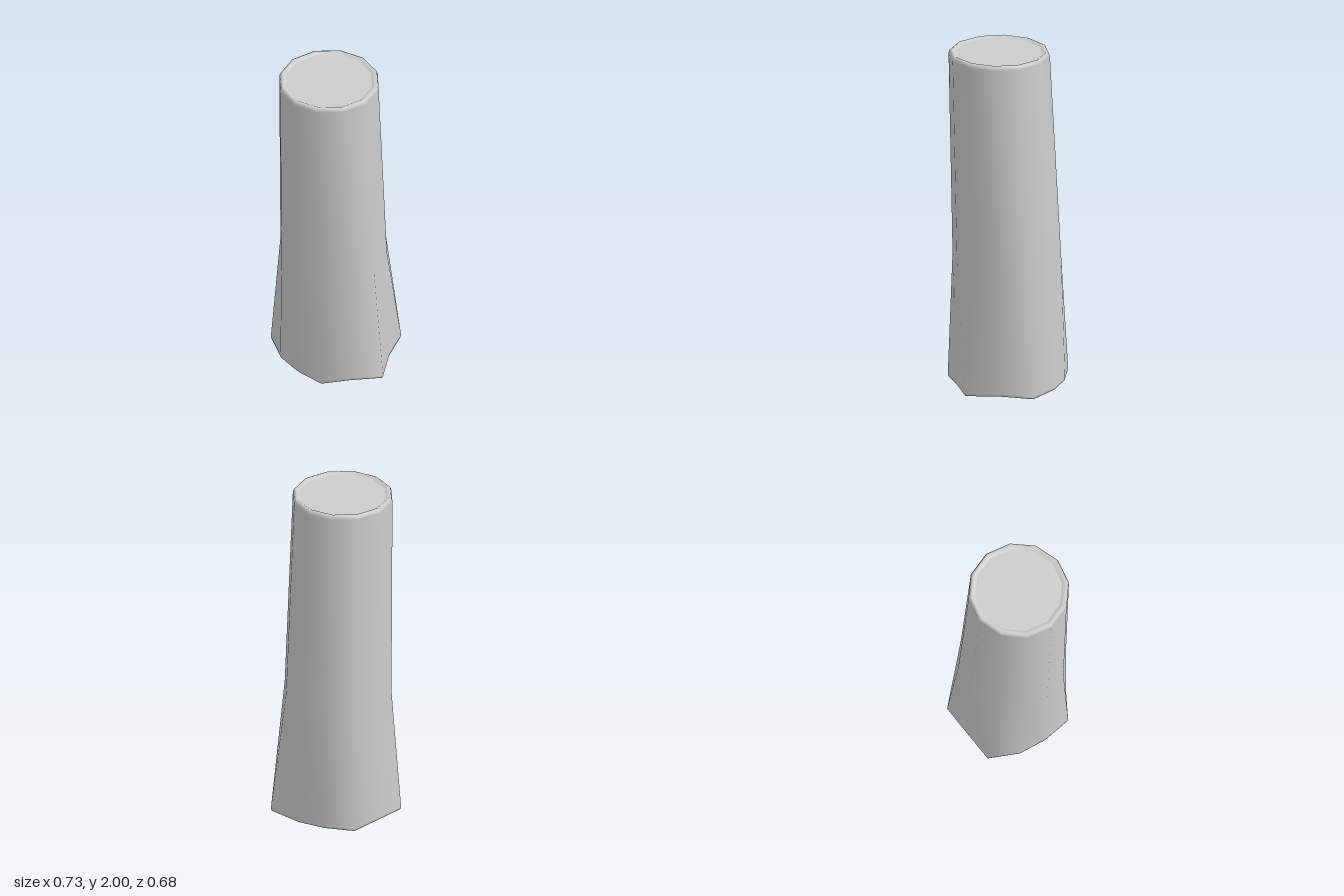
import * as THREE from 'three';

const SIDES = 12;

// Irregular foot outline (x, z), starting at the back and going round by +x
const FOOT = [
  [0.015, -0.34], [0.18, -0.30], [0.365, -0.195], [0.34, -0.01],
  [0.35, 0.205], [0.17, 0.27], [0.015, 0.34], [-0.14, 0.26],
  [-0.27, 0.15], [-0.365, -0.017], [-0.262, -0.18], [-0.16, -0.34],
];

// Regular 12-sided outline
function circle(cx, cz, r) {
  return FOOT.map((_, i) => {
    const a = (i / SIDES) * Math.PI * 2;
    return [cx + r * Math.sin(a), cz - r * Math.cos(a)];
  });
}

const scaled = (outline, k) => outline.map(([x, z]) => [x * k, z * k]);
const ring = (outline, y) => outline.map(([x, z]) => [x, y, z]);

// Skin through a stack of rings, listed from bottom to top
function loft(rings) {
  const index = [];
  for (let j = 0; j < rings.length - 1; j++) {
    for (let i = 0; i < SIDES; i++) {
      const n = (i + 1) % SIDES;
      const a = j * SIDES + i, b = j * SIDES + n;
      index.push(a, a + SIDES, b + SIDES, a, b + SIDES, b);
    }
  }
  return build(rings.flat(2), index);
}

// Flat end face over one ring
function cap(points, y, up) {
  const index = [];
  for (let i = 0; i < SIDES; i++) {
    const n = (i + 1) % SIDES;
    index.push(SIDES, up ? n : i, up ? i : n);
  }
  return build([...points.flat(), 0, y, 0], index);
}

function build(positions, index) {
  const geometry = new THREE.BufferGeometry();
  geometry.setAttribute('position', new THREE.Float32BufferAttribute(positions, 3));
  geometry.setIndex(index);
  geometry.computeVertexNormals();
  return geometry;
}

export function createModel() {
  const group = new THREE.Group();
  group.name = 'column';
  const grey = new THREE.MeshStandardMaterial({ color: 0xcccccc });
  grey.name = 'plain grey';

  const top = (r, y) => ring(circle(-0.007, 0.044, r), y);
  const footInner = ring(scaled(FOOT, 0.9), 0.012);
  const topInner = top(0.255, 1.988);

  // Shaft with flared foot and softly rounded rims at both ends
  const rings = [
    footInner,
    ring(scaled(FOOT, 0.95), 0),
    ring(scaled(FOOT, 0.99), 0.004),
    ring(FOOT, 0.018),
    ring(circle(0.01, -0.002, 0.315), 0.76),
    top(0.294, 1.975),
    top(0.288, 1.993),
    top(0.274, 2),
    topInner,
  ];

  const add = (name, geometry) => {
    const mesh = new THREE.Mesh(geometry, grey);
    mesh.name = name;
    group.add(mesh);
  };
  add('shaft', loft(rings));
  add('topFace', cap(topInner, 1.988, true));
  add('bottomFace', cap(footInner, 0.012, false));
  return group;
}
